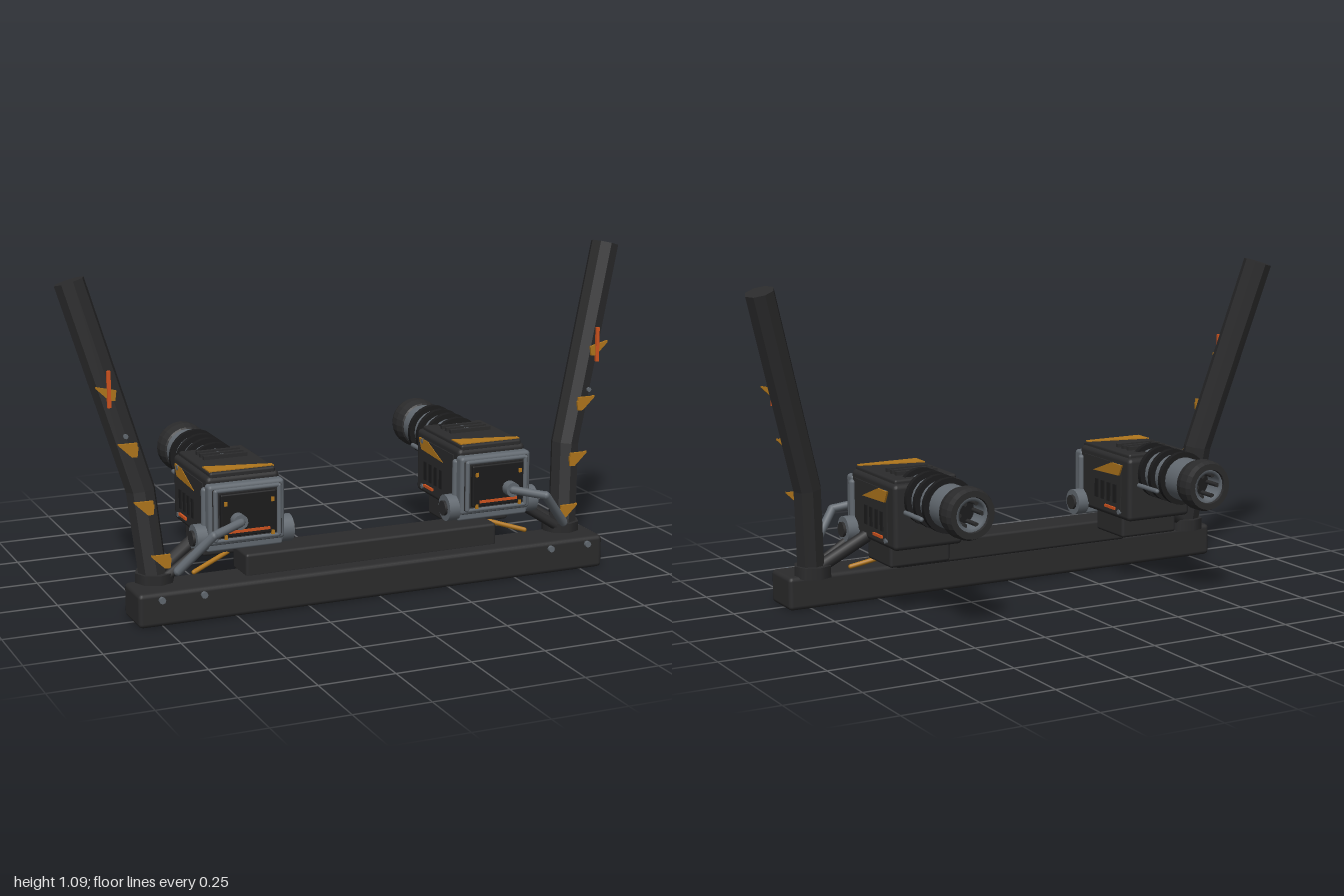
import * as THREE from 'three';
import { RoundedBoxGeometry } from 'three/addons/geometries/RoundedBoxGeometry.js';

const paint = (name, color, extra = {}) => {
  const m = new THREE.MeshStandardMaterial({ color, ...extra });
  m.name = name;
  return m;
};

export function createModel() {
  const charcoal = paint('charcoal', 0x2b2b2c);
  const facet = paint('charcoal', 0x2b2b2c, { flatShading: true });
  const black = paint('black', 0x1c1c1d);
  const steel = paint('steel grey', 0x626970);
  const amber = paint('amber', 0xb0761c, { side: THREE.DoubleSide });
  const orange = paint('orange', 0xd0531e);

  const root = new THREE.Group();
  root.name = 'twinMount';

  const add = (parent, name, geo, mat, x = 0, y = 0, z = 0) => {
    const m = new THREE.Mesh(geo, mat);
    m.name = name;
    m.position.set(x, y, z);
    parent.add(m);
    return m;
  };
  // Box given by its low and high corners; r rounds the edges
  const box = (p, name, mat, a, b, r = 0) => {
    const s = b.map((v, i) => v - a[i]);
    const g = r ? new RoundedBoxGeometry(...s, 2, r) : new THREE.BoxGeometry(...s);
    return add(p, name, g, mat, ...a.map((v, i) => (v + b[i]) / 2));
  };
  const cyl = (p, name, mat, r, len, x, y, z, axis = 'z', sides = 20, r2 = r) => {
    const g = new THREE.CylinderGeometry(r, r2, len, sides);
    if (axis === 'z') g.rotateX(Math.PI / 2);
    if (axis === 'x') g.rotateZ(Math.PI / 2);
    return add(p, name, g, mat, x, y, z);
  };
  // Straight rod between two points, with rounded ends
  const rod = (p, name, mat, a, b, r) => {
    const A = new THREE.Vector3(...a), B = new THREE.Vector3(...b);
    const d = B.clone().sub(A);
    const m = add(p, name, new THREE.CapsuleGeometry(r, d.length(), 3, 10), mat, ...A.clone().add(B).multiplyScalar(0.5));
    m.quaternion.setFromUnitVectors(new THREE.Vector3(0, 1, 0), d.normalize());
    return m;
  };
  // Thin flat plate from a 2D outline
  const plateGeo = (pts, t = 0.008) => new THREE.ExtrudeGeometry(
    new THREE.Shape(pts.map(q => new THREE.Vector2(...q))), { depth: t, bevelEnabled: false });

  // Base beams
  box(root, 'baseBeam', charcoal, [-0.83, 0, 0.18], [0.83, 0.113, 0.335], 0.015);
  box(root, 'upperBeam', charcoal, [-0.45, 0.105, 0.155], [0.45, 0.185, 0.28], 0.01);

  // Bent eight-sided post
  const post = s => {
    const g = new THREE.CylinderGeometry(0.048, 0.048, 1, 8, 2);
    const path = [[0.738, 0.1, 0.212], [0.765, 0.41, 0.17], [0.953, 1.077, 0.08]];
    const pos = g.attributes.position;
    for (let i = 0; i < pos.count; i++) {
      const k = Math.round((pos.getY(i) + 0.5) * 2);
      const lx = pos.getX(i), lz = pos.getZ(i), [px, py, pz] = path[k];
      const tilt = k === 0 ? 0 : k / 2;
      pos.setXYZ(i, s * px + lx, py + tilt * (lz * 0.13 - s * lx * 0.27), pz + lz);
    }
    g.computeVertexNormals();
    add(root, 'post', g, facet);
  };

  const sideParts = s => {
    post(s);
    // Amber flags, orange light strip and bolts ahead of the post
    const flags = [[0.875, 0.735, 0.187], [0.815, 0.553, 0.212], [0.775, 0.367, 0.238], [0.73, 0.193, 0.262]];
    flags.forEach(([x, y, z]) => add(root, 'postFlag',
      plateGeo([[-s * 0.028, -0.024], [-s * 0.032, 0.008], [s * 0.034, 0.024], [s * 0.034, 0.018], [-s * 0.01, -0.024]]
        .map(([u, v]) => [u, v])), amber, s * x, y, z));
    flags.slice(1).forEach(([x, y, z]) =>
      add(root, 'flagWedge', plateGeo([[-s * 0.028, -0.022], [s * 0.034, 0.022], [-s * 0.028, 0.022]]), amber, s * x, y, z + 0.001));
    box(root, 'lightStrip', orange, [s * 0.868 - 0.006, 0.69, 0.191], [s * 0.868 + 0.006, 0.808, 0.2]);
    cyl(root, 'postBolt', steel, 0.008, 0.008, s * 0.825, 0.6, 0.222, 'z', 8);
    for (const x of [0.76, 0.62]) cyl(root, 'baseBolt', steel, 0.011, 0.012, s * x, 0.095, 0.356, 'z', 8);
    // Braces from the post foot to the pod
    cyl(root, 'postFoot', charcoal, 0.065, 0.04, s * 0.735, 0.125, 0.205, 'y', 8);
    rod(root, 'brace', charcoal, [s * 0.71, 0.14, 0.19], [s * 0.56, 0.235, 0.15], 0.022);
    rod(root, 'lowerBrace', charcoal, [s * 0.71, 0.13, 0.24], [s * 0.58, 0.215, 0.23], 0.016);
    rod(root, 'amberStrut', amber, [s * 0.6, 0.122, 0.2], [s * 0.45, 0.165, 0.145], 0.008);
  };

  const pod = s => {
    const g = new THREE.Group();
    g.name = 'pod';
    g.position.x = s * 0.445;
    root.add(g);

    // Housing
    box(g, 'pedestal', charcoal, [-0.11, 0.155, -0.015], [0.11, 0.235, 0.16], 0.01);
    box(g, 'housing', charcoal, [-0.125, 0.225, -0.08], [0.125, 0.445, 0.25], 0.016);
    box(g, 'topPlate', charcoal, [-0.112, 0.435, -0.06], [0.112, 0.458, 0.245], 0.008);
    const topMark = add(g, 'topMark', plateGeo([[-0.11, -0.235], [0.11, -0.235], [0.11, -0.215], [-0.11, -0.165]], 0.004), amber, 0, 0.457, 0);
    topMark.rotation.x = -Math.PI / 2;

    // Front frame and panel
    box(g, 'frontFrame', steel, [-0.13, 0.225, 0.235], [0.13, 0.425, 0.28], 0.012);
    box(g, 'frameRim', charcoal, [-0.118, 0.24, 0.27], [0.118, 0.412, 0.285], 0.005);
    for (const x of [-0.108, 0.108]) rod(g, 'frameBar', steel, [x, 0.245, 0.284], [x, 0.405, 0.284], 0.008);
    for (const y of [0.242, 0.407]) rod(g, 'frameBar', steel, [-0.105, y, 0.284], [0.105, y, 0.284], 0.007);
    box(g, 'frontPanel', black, [-0.095, 0.255, 0.28], [0.095, 0.397, 0.298], 0.005);
    box(g, 'frontLight', orange, [-0.07, 0.268, 0.297], [0.07, 0.277, 0.302]);
    box(g, 'lowerSill', steel, [-0.13, 0.2, 0.215], [0.13, 0.232, 0.26], 0.008);
    for (const x of [-0.08, 0.08]) for (const y of [0.25, 0.36])
      box(g, 'panelTab', amber, [x - 0.005, y, 0.297], [x + 0.005, y + 0.014, 0.303]);

    // Side panels, vents and marks on both flanks
    for (const d of [-1, 1]) {
      const flat = (name, mat, z0, z1, y0, y1, x0, x1) =>
        box(g, name, mat, [Math.min(d * x0, d * x1), y0, z0], [Math.max(d * x0, d * x1), y1, z1]);
      flat('sidePanel', charcoal, -0.03, 0.215, 0.25, 0.42, 0.12, 0.129);
      for (let i = 0; i < 4; i++) {
        const z = 0.005 + i * 0.04;
        flat('vent', black, z - 0.009, z + 0.009, 0.28, 0.345, 0.127, 0.133);
      }
      flat('sideLight', orange, 0, 0.066, 0.256, 0.265, 0.128, 0.136);
      const mark = add(g, 'sideMark', plateGeo([[-0.14, 0.375], [0.03, 0.382], [0.05, 0.42], [-0.02, 0.42]], 0.006), amber, d * 0.131, 0, 0);
      mark.rotation.y = Math.PI / 2;
      for (const y of [0.252, 0.412]) cyl(g, 'sideBolt', steel, 0.009, 0.012, d * 0.127, y, -0.022, 'x', 8);
      rod(g, 'cornerRod', steel, [d * 0.128, 0.25, 0.235], [d * 0.128, 0.4, 0.235], 0.012);
      // Pivot knuckles
      cyl(g, 'pivot', steel, 0.045, 0.04, d * 0.146, 0.245, 0.23, 'x', 16);
      cyl(g, 'pivotCap', charcoal, 0.026, 0.012, d * 0.169, 0.245, 0.23, 'x', 12);
      // Rods beside the barrel
      rod(g, 'barrelRod', steel, [d * 0.085, 0.352, -0.07], [d * 0.085, 0.352, -0.195], 0.008);
    }

    // Barrel with clamps
    const Y = 0.393;
    cyl(g, 'barrel', steel, 0.073, 0.37, 0, Y, -0.115, 'z', 24);
    for (const z of [-0.023, -0.09, -0.153, -0.217]) cyl(g, 'clampRing', black, 0.091, 0.018, 0, Y, z, 'z', 24);
    for (const z of [0.012, 0.046, 0.08]) box(g, 'coolingRib', charcoal, [-0.075, 0.45, z - 0.007], [0.075, 0.47, z + 0.007]);

    // Hollow muzzle and its inner sleeve
    const lathe = (name, mat, pts) => {
      const geo = new THREE.LatheGeometry(pts.map(q => new THREE.Vector2(...q)), 24);
      geo.rotateX(-Math.PI / 2);
      add(g, name, geo, mat, 0, Y, 0);
    };
    lathe('muzzle', facet, [[0.07, 0.298], [0.078, 0.305], [0.086, 0.335], [0.085, 0.368], [0.078, 0.386], [0.058, 0.386], [0.055, 0.375]]);
    lathe('muzzleSleeve', steel, [[0.056, 0.378], [0.045, 0.378], [0.043, 0.31]]);
    cyl(g, 'bore', black, 0.046, 0.012, 0, Y, -0.306);
    for (let i = 0; i < 6; i++) {
      const a = i * Math.PI / 3;
      cyl(g, 'boreFin', charcoal, 0.008, 0.06, Math.cos(a) * 0.04, Y + Math.sin(a) * 0.04, -0.342, 'z', 6);
    }

    // Bent grip handle reaching outward
    cyl(g, 'handleHub', steel, 0.025, 0.036, s * 0.04, 0.31, 0.312, 'z', 14);
    const bend = [[0.04, 0.31, 0.33], [0.145, 0.288, 0.365], [0.245, 0.168, 0.308]].map(([x, y, z]) => [s * x, y, z]);
    rod(g, 'handleArm', steel, bend[0], bend[1], 0.014);
    rod(g, 'handleGrip', steel, bend[1], bend[2], 0.015);
  };

  for (const s of [-1, 1]) {
    sideParts(s);
    pod(s);
  }
  return root;
}
